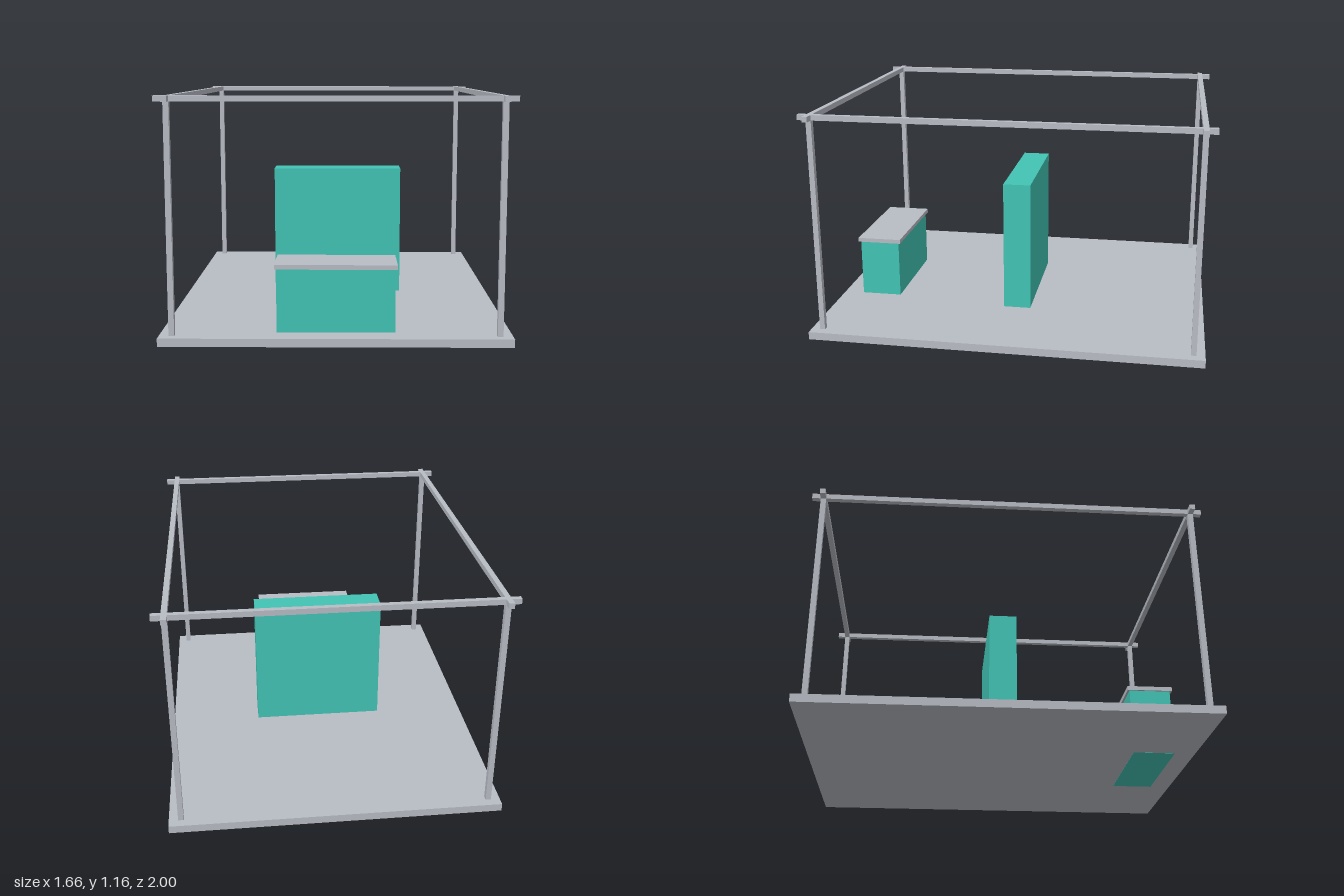
import * as THREE from 'three';

export function createModel() {
  const model = new THREE.Group();
  const grey = new THREE.MeshStandardMaterial({ color: 0xb8bcc4 });
  grey.name = 'light grey';
  const teal = new THREE.MeshStandardMaterial({ color: 0x42c4b5 });
  teal.name = 'teal';

  // Box from its size, the height of its underside and its plan position
  function box(name, material, w, h, d, bottom, x = 0, z = 0) {
    const mesh = new THREE.Mesh(new THREE.BoxGeometry(w, h, d), material);
    mesh.name = name;
    mesh.position.set(x, bottom + h / 2, z);
    model.add(mesh);
  }

  const width = 1.664, depth = 2, floorTop = 0.041;
  const bar = 0.027, roofTop = 1.164;
  const postX = 0.772, postZ = 0.943;

  // Floor, lifted a hair so the counter base shows underneath
  box('floor', grey, width, floorTop - 0.001, depth, 0.001);

  // Open frame: corner posts and beams that overrun at the corners
  for (const sx of [-1, 1]) {
    for (const sz of [-1, 1]) {
      box('cornerPost', grey, bar, roofTop - bar - floorTop, bar, floorTop, sx * postX, sz * postZ);
    }
    box('sideBeam', grey, bar, bar, depth, roofTop - bar, sx * postX, 0);
  }
  for (const sz of [-1, 1]) {
    box('crossBeam', grey, width, bar, bar, roofTop - bar, 0, sz * postZ);
  }

  // Central display wall
  box('displayWall', teal, 0.697, 0.734 - 0.02, 0.145, 0.02);

  // Front counter with an overhanging top
  box('counterBody', teal, 0.565, 0.348, 0.215, 0, 0, 0.786);
  box('counterTop', grey, 0.583, 0.022, 0.238, 0.348, 0, 0.786);

  return model;
}
